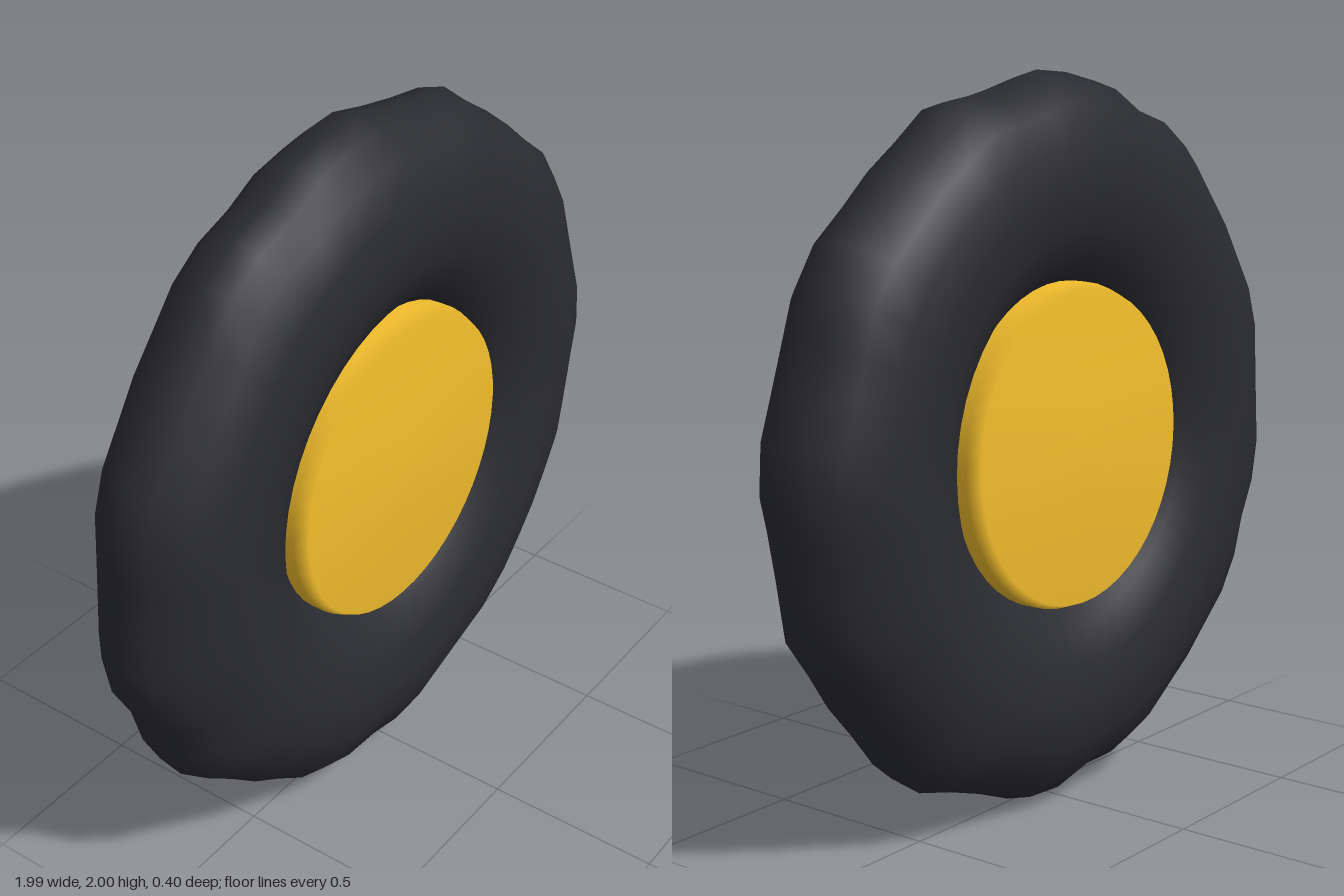
import * as THREE from 'three';
import { mergeVertices } from 'three/addons/utils/BufferGeometryUtils.js';

// Tread blocks around the rim, one mark per 7.5 degrees from +x: 1 = raised, 0 = worn
const TREAD = '110011000100' + '111011000110' + '011011000110' + '110011000100';
const RING = 0.71, TUBE = 0.29, HALF_WIDTH = 0.2, DENT = 0.025;

function makeTire() {
  const n = TREAD.length;
  const geo = new THREE.TorusGeometry(RING, TUBE, 16, n);
  const pos = geo.attributes.position;
  for (let i = 0; i < pos.count; i++) {
    const x = pos.getX(i), y = pos.getY(i), z = pos.getZ(i);
    const k = (Math.round((Math.atan2(y, x) / (2 * Math.PI)) * n) + n) % n;
    // worn spots sink in, most at the outermost line of the tread
    const outward = Math.max(0, (Math.hypot(x, y) - RING) / TUBE);
    const s = TREAD[k] === '1' ? 1 : 1 - DENT * outward;
    pos.setXYZ(i, x * s, y * s, z * HALF_WIDTH / TUBE);
  }
  // weld the seams for smooth normals
  geo.deleteAttribute('uv');
  geo.deleteAttribute('normal');
  const welded = mergeVertices(geo, 1e-4);
  welded.computeVertexNormals();
  return new THREE.Mesh(welded, new THREE.MeshStandardMaterial({ color: 0x2a2b30 }));
}

function makeHub() {
  // softly rounded drum, turned so its axis points along z
  const profile = [[0, -0.165], [0.43, -0.16], [0.445, -0.12], [0.445, 0.12], [0.43, 0.16], [0, 0.165]]
    .map(([r, h]) => new THREE.Vector2(r, h));
  const geo = new THREE.LatheGeometry(profile, 48);
  geo.rotateX(Math.PI / 2);
  return new THREE.Mesh(geo, new THREE.MeshStandardMaterial({ color: 0xf2bd2c }));
}

export function createModel() {
  const model = new THREE.Group();
  model.name = 'wheel';
  const tire = makeTire();
  tire.name = 'tire';
  const hub = makeHub();
  hub.name = 'hub';
  for (const part of [tire, hub]) {
    part.position.y = 1;
    model.add(part);
  }
  return model;
}
